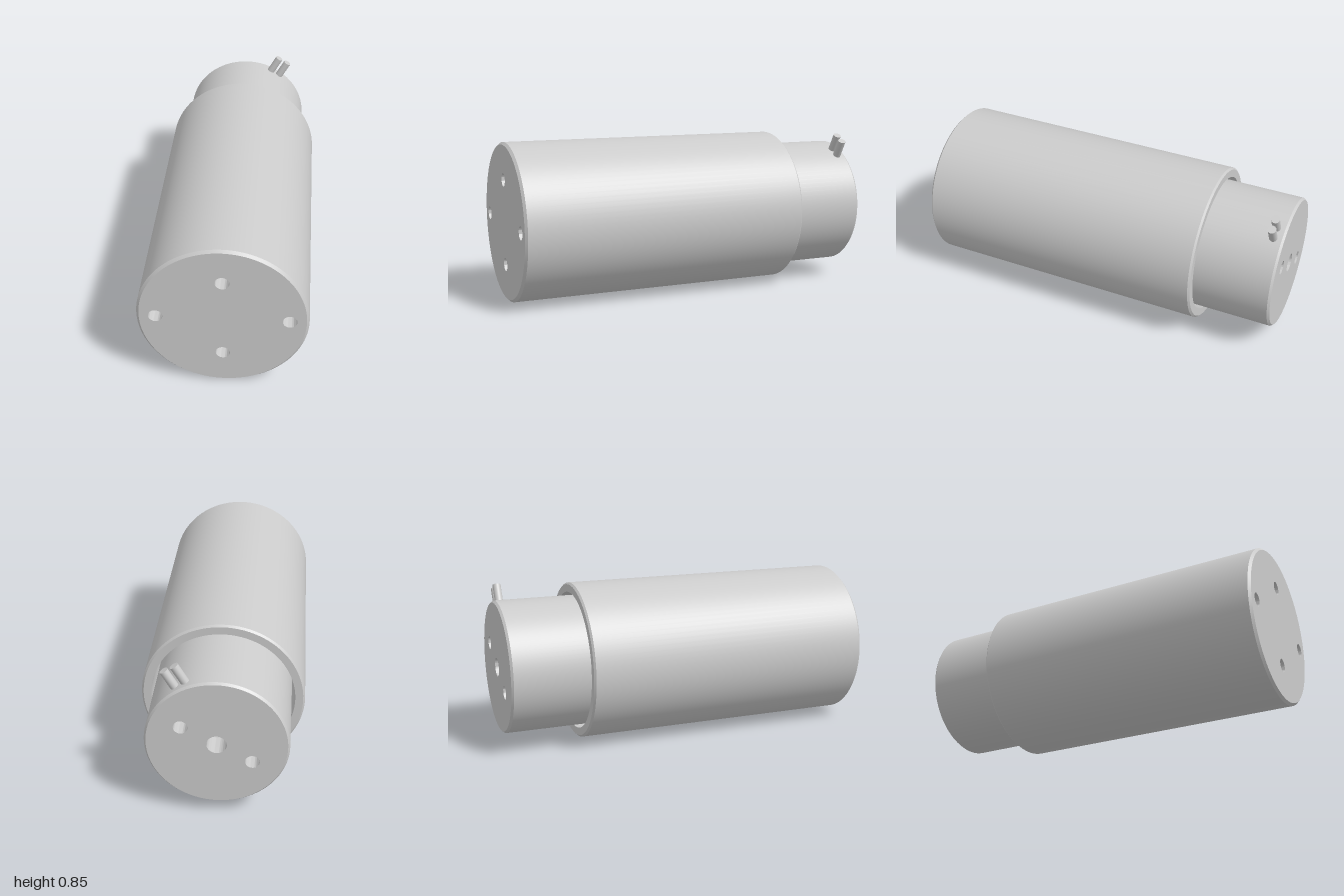
import * as THREE from 'three';
import { toCreasedNormals } from 'three/addons/utils/BufferGeometryUtils.js';

const AXIS_Y = 0.43;
const SEG = 96;
const material = new THREE.MeshStandardMaterial({ color: 0xcccccc });

function addMesh(parent, name, geometry) {
  const mesh = new THREE.Mesh(geometry, material);
  mesh.name = name;
  parent.add(mesh);
  return mesh;
}

// Turned part: profile of [radius, z], revolved around the z axis
function turned(profile, segments = SEG) {
  const points = profile.map(([r, z]) => new THREE.Vector2(r, z));
  const geometry = new THREE.LatheGeometry(points, segments).rotateX(Math.PI / 2);
  return toCreasedNormals(geometry, 0.4);
}

// Flat round face at z = 0 with blind drilled holes behind it
function drilledFace(name, radius, holes) {
  const group = new THREE.Group();
  group.name = name;
  const disc = new THREE.Shape().absarc(0, 0, radius, 0, Math.PI * 2);
  for (const { x, y, r, depth } of holes) {
    disc.holes.push(new THREE.Path().absarc(x, y, r, 0, Math.PI * 2, true));
    const hole = addMesh(group, 'drilledHole',
      turned([[r, 0], [r, -depth], [0, -depth - r * 0.58]], SEG));
    hole.position.set(x, y, 0);
  }
  addMesh(group, 'endFace', new THREE.ShapeGeometry(disc, SEG));
  return group;
}

export function createModel() {
  const model = new THREE.Group();
  model.name = 'cylindricalMotor';
  const body = new THREE.Group();
  body.name = 'body';
  body.position.y = AXIS_Y;
  model.add(body);

  // Outer sleeve, open at the back, with chamfered rims
  addMesh(body, 'outerSleeve', turned([
    [0, 0.85], [0.376, 0.85], [0.376, -0.585], [0.417, -0.585],
    [0.427, -0.575], [0.427, 0.987], [0.414, 1],
  ]));

  // Inner cylinder standing out of the sleeve at the back
  addMesh(body, 'innerCylinder', turned([[0.347, -1], [0.357, -0.988], [0.357, 0.85]]));

  // Front face with four mounting holes
  const front = drilledFace('frontFace', 0.414, [
    { x: 0, y: 0.229 }, { x: 0, y: -0.229 }, { x: 0.332, y: 0 }, { x: -0.332, y: 0 },
  ].map((p) => ({ ...p, r: 0.036, depth: 0.1 })));
  front.position.z = 1;
  body.add(front);

  // Back face with a central hole and a slanted pair beside it
  const back = drilledFace('backFace', 0.347, [
    { x: 0, y: 0, r: 0.05, depth: 0.12 },
    { x: -0.175, y: 0.095, r: 0.036, depth: 0.1 },
    { x: 0.175, y: -0.095, r: 0.036, depth: 0.1 },
  ]);
  back.rotation.y = Math.PI;
  back.position.z = -1;
  body.add(back);

  // Two parallel terminal pins leaning 30 degrees from vertical
  const pins = new THREE.Group();
  pins.name = 'terminalPins';
  pins.rotation.z = -Math.PI / 6;
  pins.position.z = -0.943;
  body.add(pins);
  for (const side of [-1, 1]) {
    const pin = addMesh(pins, 'terminalPin', new THREE.CylinderGeometry(0.022, 0.022, 0.146, 32));
    pin.position.set(side * 0.029, 0.383, 0);
  }

  return model;
}
